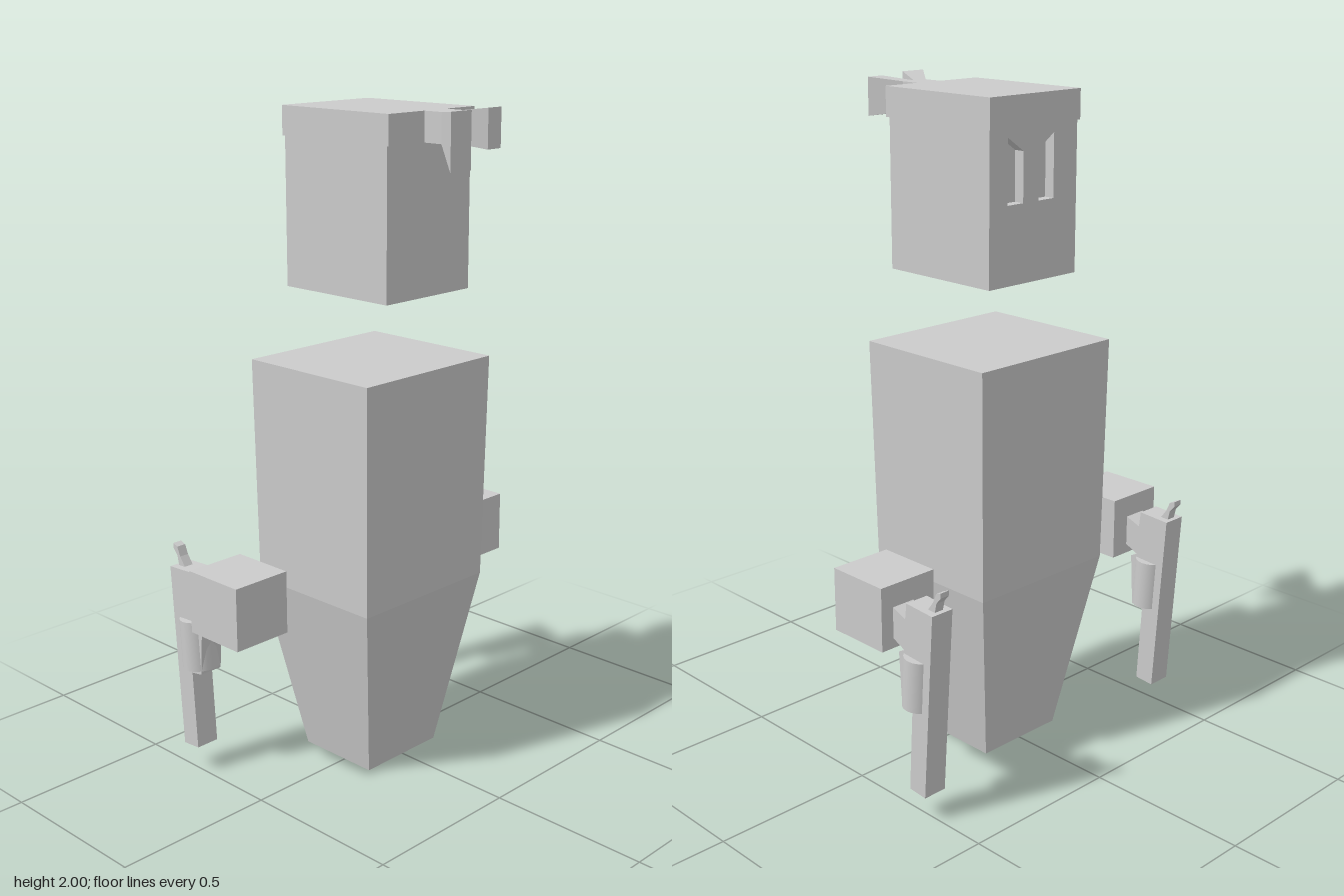
import * as THREE from 'three';

const material = new THREE.MeshStandardMaterial({ color: 0xcccccc, flatShading: true });
const smooth = new THREE.MeshStandardMaterial({ color: 0xcccccc });

function add(parent, name, geometry, mat = material) {
  const mesh = new THREE.Mesh(geometry, mat);
  mesh.name = name;
  parent.add(mesh);
  return mesh;
}

// Box given by its limits on each axis
function boxBetween([x0, x1], [y0, y1], [z0, z1]) {
  return new THREE.BoxGeometry(x1 - x0, y1 - y0, z1 - z0)
    .translate((x0 + x1) / 2, (y0 + y1) / 2, (z0 + z1) / 2);
}

// Unit box whose vertices are moved by a rule
function shapedBox(segmentsY, rule) {
  const g = new THREE.BoxGeometry(1, 1, 1, 1, segmentsY, 1);
  const p = g.attributes.position;
  for (let i = 0; i < p.count; i++) p.setXYZ(i, ...rule(p.getX(i), p.getY(i), p.getZ(i)));
  const flat = g.toNonIndexed();
  flat.computeVertexNormals();
  return flat;
}

const outline = (points) => points.map(([x, y]) => new THREE.Vector2(x, y));

// Side profile extruded about z = 0
function slab(points, width) {
  return new THREE.ExtrudeGeometry(new THREE.Shape(outline(points)), { depth: width, bevelEnabled: false })
    .translate(0, 0, -width / 2);
}

function createBody() {
  // y, x limits, z limits from bottom to top
  const rings = [
    [0, [-0.165, 0.105], [-0.145, 0.15]],
    [0.565, [-0.257, 0.2], [-0.247, 0.254]],
    [1.255, [-0.267, 0.208], [-0.26, 0.26]],
  ];
  return shapedBox(2, (x, y, z) => {
    const [h, xs, zs] = rings[Math.round((y + 0.5) * 2)];
    return [x < 0 ? xs[0] : xs[1], h, z < 0 ? zs[0] : zs[1]];
  });
}

function createHead() {
  const head = new THREE.Group();
  head.name = 'head';
  add(head, 'skull', boxBetween([-0.19, 0.18], [1.465, 1.985], [-0.19, 0.153]));

  // Face plate with two slanted eye openings
  const plate = new THREE.Shape(outline([[-0.19, 1.465], [0.153, 1.465], [0.153, 1.9], [-0.19, 1.9]]));
  const middle = -0.03;
  for (const side of [-1, 1]) {
    plate.holes.push(new THREE.Path(outline(
      [[0.03, 1.69], [0.09, 1.69], [0.09, 1.873], [0.03, 1.832]].map(([u, v]) => [middle + side * u, v]))));
  }
  const face = new THREE.ExtrudeGeometry(plate, { depth: 0.032, bevelEnabled: false }).rotateY(-Math.PI / 2);
  add(head, 'face', face).position.x = -0.19;

  // Headband, knot and two flared ribbon ends
  add(head, 'headband', boxBetween([-0.232, 0.187], [1.9, 1.986], [-0.197, 0.154]));
  add(head, 'knot', boxBetween([0.18, 0.25], [1.9, 1.986], [-0.077, 0.012]));
  const ribbons = [
    { rootZ: [-0.077, -0.035], tipX: 0.337, tipY: [1.885, 1.997], tipZ: [-0.135, -0.08] },
    { rootZ: [-0.035, 0.012], tipX: 0.37, tipY: [1.84, 2], tipZ: [0.028, 0.11] },
  ];
  for (const r of ribbons) {
    add(head, 'ribbonEnd', shapedBox(1, (x, y, z) => {
      const [px, ys, zs] = x < 0 ? [0.25, [1.9, 1.986], r.rootZ] : [r.tipX, r.tipY, r.tipZ];
      return [px, y < 0 ? ys[0] : ys[1], z < 0 ? zs[0] : zs[1]];
    }));
  }
  return head;
}

function createRevolver() {
  const gun = new THREE.Group();
  gun.name = 'revolver';
  // Frame and barrel, muzzle down
  add(gun, 'frameAndBarrel', slab([
    [-0.36, 0.65], [-0.323, 0.08], [-0.26, 0.085], [-0.274, 0.33], [-0.232, 0.337],
    [-0.222, 0.5], [-0.245, 0.512], [-0.19, 0.537], [-0.19, 0.63], [-0.25, 0.607], [-0.256, 0.656],
  ], 0.075));
  add(gun, 'hammer', slab([
    [-0.37, 0.715], [-0.37, 0.7], [-0.353, 0.68], [-0.345, 0.645], [-0.318, 0.65], [-0.34, 0.68], [-0.352, 0.708],
  ], 0.03));
  // Cartridge drum
  const drum = add(gun, 'drum', new THREE.CylinderGeometry(0.06, 0.06, 0.155, 20), smooth);
  drum.scale.x = 0.88;
  drum.position.set(-0.278, 0.422, 0);
  drum.rotation.z = 0.06;
  return gun;
}

export function createModel() {
  const model = new THREE.Group();
  model.name = 'figure';
  add(model, 'body', createBody());
  model.add(createHead());

  // Floating hands, each holding a revolver
  for (const [name, z0, z1, gunZ] of [['leftHand', 0.384, 0.576, 0.483], ['rightHand', -0.579, -0.386, -0.5]]) {
    add(model, name, boxBetween([-0.2, 0.002], [0.503, 0.694], [z0, z1]));
    const gun = createRevolver();
    gun.position.z = gunZ;
    model.add(gun);
  }
  return model;
}
